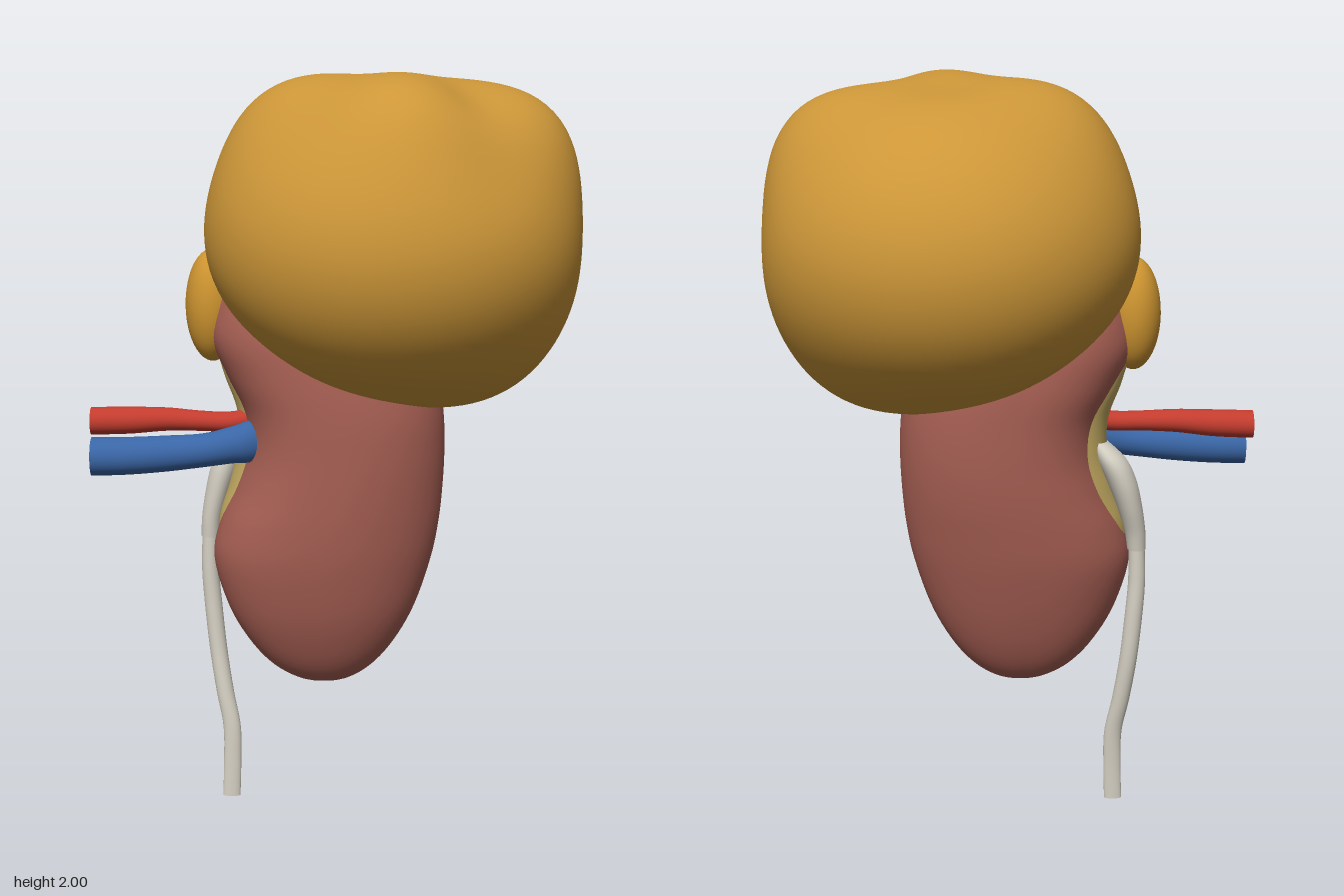
import * as THREE from 'three';
import { mergeVertices } from 'three/addons/utils/BufferGeometryUtils.js';

const paint = (name, color, side = THREE.FrontSide) => {
  const m = new THREE.MeshStandardMaterial({ color, side });
  m.name = name;
  return m;
};

// Smooth surface from a rule f(u, v) -> [x, y, z], with u and v in 0..1
function surface(f, nu, nv) {
  const pos = [], idx = [];
  for (let i = 0; i <= nu; i++) for (let j = 0; j <= nv; j++) pos.push(...f(i / nu, j / nv));
  for (let i = 0; i < nu; i++) for (let j = 0; j < nv; j++) {
    const a = i * (nv + 1) + j, b = a + nv + 1;
    idx.push(a, b, b + 1, a, b + 1, a + 1);
  }
  let g = new THREE.BufferGeometry();
  g.setAttribute('position', new THREE.Float32BufferAttribute(pos, 3));
  g.setIndex(idx);
  g = mergeVertices(g, 1e-5);
  g.computeVertexNormals();
  return g;
}

// Catmull-Rom through rows of numbers
function sample(rows, t) {
  const n = rows.length - 1, s = Math.min(t * n, n - 1e-9), i = Math.floor(s), f = s - i;
  const row = k => rows[Math.max(0, Math.min(n, k))];
  const [a, b, c, d] = [row(i - 1), row(i), row(i + 1), row(i + 2)];
  return b.map((q, k) => q + 0.5 * f * (c[k] - a[k] +
    f * (2 * a[k] - 5 * q + 4 * c[k] - d[k] + f * (3 * (q - c[k]) + d[k] - a[k]))));
}

// Kidney sections: height, inner edge, outer edge, half depth, depth centre
const kidneyRows = [
  [0.348, -0.03, -0.03, 0, 0.018], [0.36, -0.1, 0.036, 0.042, 0.018], [0.4, -0.172, 0.1, 0.082, 0.018],
  [0.47, -0.236, 0.16, 0.12, 0.018], [0.57, -0.292, 0.214, 0.156, 0.018], [0.7, -0.328, 0.257, 0.188, 0.014],
  [0.8, -0.31, 0.277, 0.203, 0.01], [0.9, -0.268, 0.287, 0.213, 0.005], [1.0, -0.24, 0.291, 0.218, 0.002],
  [1.1, -0.246, 0.287, 0.22, 0], [1.2, -0.292, 0.27, 0.217, -0.004], [1.3, -0.33, 0.24, 0.205, -0.005],
  [1.4, -0.31, 0.2, 0.185, -0.005], [1.5, -0.26, 0.15, 0.155, 0], [1.58, -0.19, 0.08, 0.1, 0],
  [1.61, -0.06, -0.06, 0, 0],
];
// The inner side (negative cosine) is fuller, so the notch has broad lips
function kidneyPoint(t, angle, offset = 0) {
  const [y, x0, x1, d, z] = sample(kidneyRows, t), c = Math.cos(angle);
  const side = c < 0 ? -Math.pow(-c, 0.78) : c;
  return [(x0 + x1) / 2 + ((x1 - x0) / 2 + offset) * side, y, z + (d + offset) * Math.sin(angle)];
}

// Tubes: rows of centre x, y, z and two radii, running along 'x' or 'y'
function tube(rows, run, segments = 40) {
  return surface((u, v) => {
    const [x, y, z, p, q] = sample(rows, u), a = v * Math.PI * 2;
    return run === 'y'
      ? [x + p * Math.cos(a), y, z + q * Math.sin(a)]
      : [x, y + p * Math.cos(a), z + q * Math.sin(a)];
  }, segments, 28);
}

// Lobes that swell or dent the growth: direction, amount, sharpness
const lobes = [
  [0.74, 0.66, 0.12, 0.075, 11], [-0.62, 0.74, 0, 0.064, 10], [0.08, 0.8, 0.58, 0.066, 11],
  [0.42, 0.82, 0.42, -0.025, 35], [0, 1, -0.1, -0.014, 25], [0.5, 0.45, 0.74, -0.012, 20],
  [-0.7, -0.7, 0, -0.035, 7], [0.6, -0.78, 0, 0.05, 7], [1, 0.05, 0, -0.012, 15],
].map(([x, y, z, amount, sharp]) => ({ dir: new THREE.Vector3(x, y, z).normalize(), amount, sharp }));

function growthPoint(u, v) {
  const th = (u - 0.5) * Math.PI, a = v * Math.PI * 2;
  const d = new THREE.Vector3(Math.cos(th) * Math.cos(a), Math.sin(th), Math.cos(th) * Math.sin(a));
  let r = 1 / Math.hypot(d.x / 0.497, d.y / 0.42, d.z / 0.51);
  for (const l of lobes) r += l.amount * Math.exp(l.sharp * (d.dot(l.dir) - 1));
  return [0.15 + d.x * r, 1.55 + d.y * r, d.z * r];
}

export function createModel() {
  const model = new THREE.Group();
  const kidneyMat = paint('kidney red brown', 0xa86054);
  const growthMat = paint('growth gold', 0xcc9638);
  const noduleMat = paint('nodule amber', 0xcd9430);
  const fatMat = paint('fat tan', 0xc4ab62, THREE.DoubleSide);
  const arteryMat = paint('artery red', 0xc23c2e, THREE.DoubleSide);
  const veinMat = paint('vein blue', 0x3a66a6, THREE.DoubleSide);
  const ureterMat = paint('ureter ivory', 0xd6d1c4, THREE.DoubleSide);
  const add = (name, geometry, material) => {
    const m = new THREE.Mesh(geometry, material);
    m.name = name;
    model.add(m);
    return m;
  };

  // Body and the large lobed growth on its upper end
  add('kidney', surface((u, v) => kidneyPoint(u, v * Math.PI * 2), 75, 64), kidneyMat);
  add('growth', surface(growthPoint, 64, 96), growthMat);

  // Small nodule on the inner edge
  const nodule = add('nodule', new THREE.SphereGeometry(1, 36, 24), noduleMat);
  nodule.scale.set(0.072, 0.15, 0.088);
  nodule.position.set(-0.328, 1.377, -0.022);

  // Lens of fat filling the notch, following the kidney surface
  add('hilumFat', surface((u, v) => {
    const s = 2 * u - 1, w = 2 * v - 1;
    const width = 0.45 * Math.sqrt(Math.max(0, 1 - s * s));
    return kidneyPoint((8.15 + 2.55 * s) / 15, Math.PI + 0.14 + w * width,
      0.026 * (1 - s * s) * (1 - w * w) - 0.002);
  }, 30, 18), fatMat);

  // Vessels, open at the far ends
  add('artery', tube([
    [-0.655, 1.067, 0.008, 0.037, 0.039], [-0.55, 1.07, 0.012, 0.036, 0.037], [-0.45, 1.075, 0.02, 0.031, 0.034],
    [-0.36, 1.073, 0.03, 0.027, 0.03], [-0.28, 1.072, 0.035, 0.027, 0.03], [-0.2, 1.085, 0.035, 0.03, 0.03],
  ], 'x'), arteryMat);
  add('vein', tube([
    [-0.645, 0.988, 0.093, 0.051, 0.05], [-0.55, 0.99, 0.092, 0.05, 0.049], [-0.45, 0.996, 0.09, 0.048, 0.046],
    [-0.35, 1.005, 0.088, 0.045, 0.044], [-0.27, 1.02, 0.084, 0.05, 0.046], [-0.225, 1.028, 0.08, 0.056, 0.046],
    [-0.17, 1.03, 0.07, 0.045, 0.035],
  ], 'x'), veinMat);

  // Funnel leaving the notch, then the long duct
  add('renalPelvis', tube([
    [-0.343, 0.738, -0.05, 0.025, 0.029], [-0.338, 0.79, -0.052, 0.028, 0.036], [-0.322, 0.86, -0.057, 0.034, 0.048],
    [-0.3, 0.93, -0.06, 0.04, 0.056], [-0.272, 0.99, -0.06, 0.04, 0.054], [-0.235, 1.04, -0.055, 0.025, 0.035],
  ], 'y'), ureterMat);
  add('ureter', tube([
    [-0.29, 0, -0.013, 0.024, 0.012], [-0.287, 0.1, -0.015, 0.024, 0.014], [-0.288, 0.2, -0.02, 0.024, 0.018],
    [-0.307, 0.3, -0.032, 0.024, 0.023], [-0.325, 0.42, -0.045, 0.024, 0.025], [-0.338, 0.55, -0.05, 0.024, 0.025],
    [-0.345, 0.65, -0.05, 0.023, 0.025], [-0.343, 0.75, -0.05, 0.022, 0.025],
  ], 'y', 50), ureterMat);

  return model;
}
